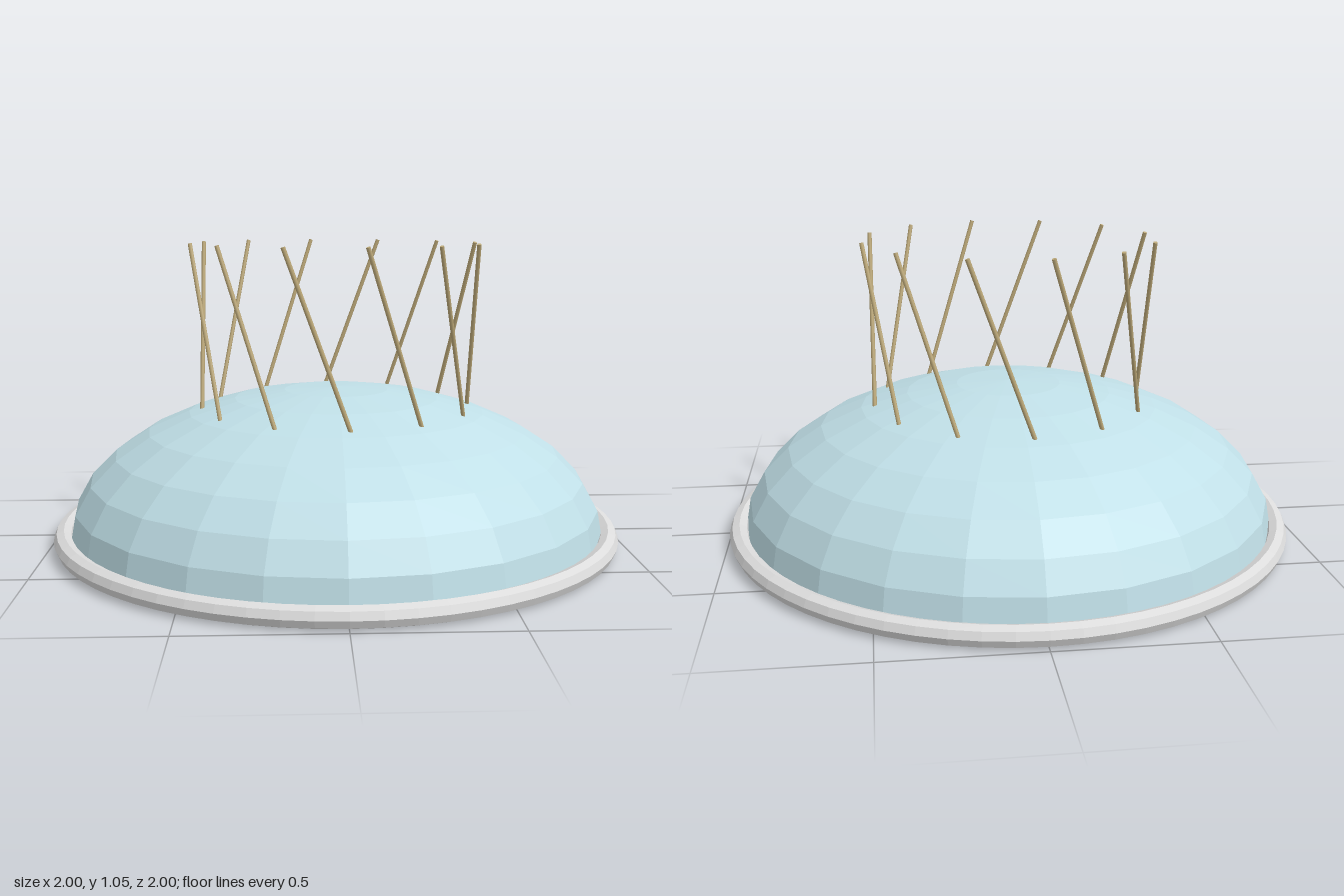
import * as THREE from 'three';

export function createModel() {
  const model = new THREE.Group();
  model.name = 'domeWithRods';

  const paleBlue = new THREE.MeshStandardMaterial({ color: 0xc0dfe7, flatShading: true, side: THREE.DoubleSide });
  paleBlue.name = 'paleBlue';
  const silver = new THREE.MeshStandardMaterial({ color: 0xdcdcdc, flatShading: true });
  silver.name = 'silver';
  const brass = new THREE.MeshStandardMaterial({ color: 0xbca878 });
  brass.name = 'brass';

  const rimY = 0.035;

  // Faceted open shell, a flattened hemisphere
  const dome = new THREE.Mesh(
    new THREE.SphereGeometry(1, 24, 8, 0, Math.PI * 2, 0, Math.PI / 2)
      .scale(0.945, 0.505, 0.945)
      .translate(0, rimY, 0),
    paleBlue
  );
  dome.name = 'dome';
  model.add(dome);

  // Ring around the base
  const rim = new THREE.Mesh(
    new THREE.TorusGeometry(0.965, 0.035, 8, 64).rotateX(Math.PI / 2).translate(0, rimY, 0),
    silver
  );
  rim.name = 'rim';
  model.add(rim);

  // Twelve thin rods piercing the shell, each leaning along the circle
  const rods = new THREE.Group();
  rods.name = 'rods';
  const rodGeometry = new THREE.CylinderGeometry(0.0075, 0.0075, 1.07, 8)
    .rotateZ(THREE.MathUtils.degToRad(20))
    .translate(0, 0.545, 0.476);
  for (let i = 0; i < 12; i++) {
    const rod = new THREE.Mesh(rodGeometry, brass);
    rod.name = `rod${i + 1}`;
    rod.rotation.y = (i * Math.PI) / 6;
    rods.add(rod);
  }
  model.add(rods);

  return model;
}
